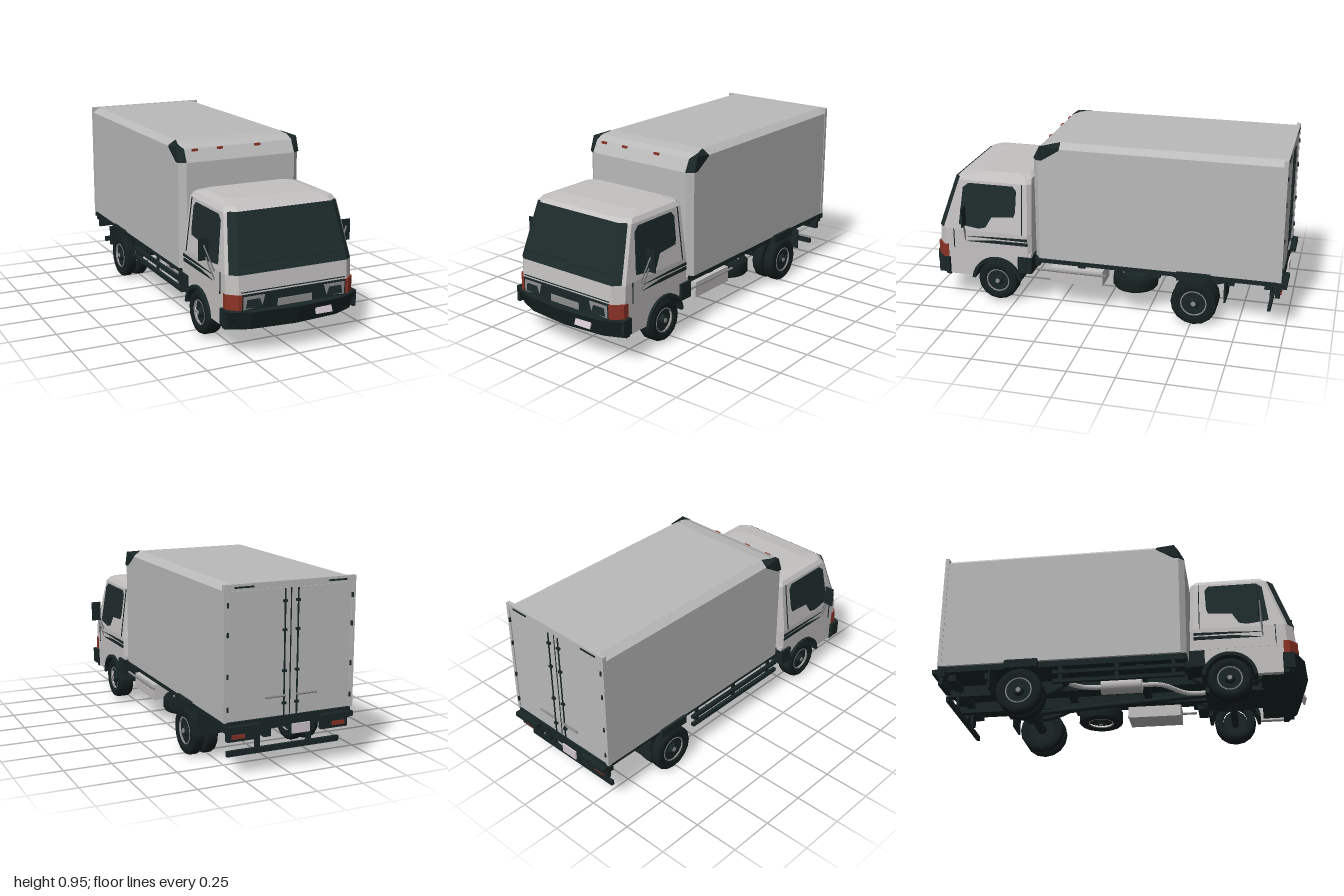
import * as THREE from 'three';
import { ConvexGeometry } from 'three/addons/geometries/ConvexGeometry.js';

const mat = (name, color) => Object.assign(new THREE.MeshStandardMaterial({ color }), { name });

export function createModel() {
  const root = new THREE.Group();
  root.name = 'boxTruck';
  const cargo = mat('cargoGrey', 0xbababa), paint = mat('cabWhite', 0xc4c1c1), dark = mat('darkTrim', 0x1a2626);
  const glass = mat('glass', 0x1e2b2b), red = mat('lampRed', 0x8c3226), rubber = mat('rubber', 0x162020);
  const metal = mat('metal', 0x8e8e8e), plateMat = mat('plateWhite', 0xd2c6ce);

  const add = (name, geo, m, x = 0, y = 0, z = 0, parent = root) => {
    const mesh = new THREE.Mesh(geo, m);
    mesh.name = name;
    mesh.position.set(x, y, z);
    parent.add(mesh);
    return mesh;
  };
  // Box given by its limits on each axis
  const box = (name, m, x0, x1, y0, y1, z0, z1) =>
    add(name, new THREE.BoxGeometry(x1 - x0, y1 - y0, z1 - z0), m, (x0 + x1) / 2, (y0 + y1) / 2, (z0 + z1) / 2);
  const pair = (name, m, x0, x1, ...r) => {
    box(name + 'Left', m, x0, x1, ...r);
    box(name + 'Right', m, -x1, -x0, ...r);
  };
  const hull = (name, m, pts) => add(name, new ConvexGeometry(pts.map(p => new THREE.Vector3(...p))), m);
  const poly = pts => new THREE.Shape(pts.map(p => new THREE.Vector2(...p)));
  // Extrude a (z, y) outline across x from x0 to x1
  const across = (shape, x0, x1) => new THREE.ExtrudeGeometry(shape, { depth: x1 - x0, bevelEnabled: false, curveSegments: 10 })
    .rotateY(-Math.PI / 2).translate(x1, 0, 0);
  const rod = (name, m, a, b, r, sides = 6) => {
    const A = new THREE.Vector3(...a), B = new THREE.Vector3(...b), d = B.clone().sub(A);
    const mesh = add(name, new THREE.CylinderGeometry(r, r, d.length(), sides), m);
    mesh.position.copy(A).add(B).multiplyScalar(0.5);
    mesh.quaternion.setFromUnitVectors(new THREE.Vector3(0, 1, 0), d.normalize());
  };
  // Skin horizontal eight-sided rings: [y, halfWidth, front, back, cornerX, cornerZ, rearCorner]
  const loft = rings => {
    const pts = rings.map(([y, w, f, b, c, d, e]) =>
      [[c - w, f], [w - c, f], [w, f - d], [w, b + e], [w - e, b], [e - w, b], [-w, b + e], [-w, f - d]].map(([x, z]) => [x, y, z]));
    const out = [], tri = (...v) => v.forEach(p => out.push(...p));
    for (let i = 0; i + 1 < pts.length; i++) for (let j = 0; j < 8; j++) {
      const k = (j + 1) % 8;
      tri(pts[i][j], pts[i][k], pts[i + 1][k]);
      tri(pts[i][j], pts[i + 1][k], pts[i + 1][j]);
    }
    const top = pts[pts.length - 1], low = pts[0];
    for (let j = 1; j < 7; j++) {
      tri(top[0], top[j], top[j + 1]);
      tri(low[0], low[j + 1], low[j]);
    }
    const g = new THREE.BufferGeometry();
    g.setAttribute('position', new THREE.Float32BufferAttribute(out, 3));
    g.computeVertexNormals();
    return g;
  };

  // Cargo body
  add('cargoBox', loft([
    [0.295, 0.35, 0.37, -0.963, 0.034, 0.03, 0.002], [0.86, 0.35, 0.37, -0.963, 0.034, 0.03, 0.002],
    [0.925, 0.35, 0.336, -0.963, 0.034, 0.03, 0.002], [0.945, 0.325, 0.29, -0.963, 0.014, 0.02, 0.002],
    [0.955, 0.312, 0.22, -0.963, 0.01, 0.01, 0.002]]), cargo);
  for (const s of [1, -1]) {
    hull('cargoCornerCap', dark, [
      [0.316, 0.86, 0.373], [0.356, 0.86, 0.345], [0.353, 0.86, 0.315], [0.316, 0.925, 0.34], [0.355, 0.94, 0.318],
      [0.313, 0.956, 0.222], [0.352, 0.93, 0.22], [0.352, 0.92, 0.22], [0.3, 0.86, 0.33]].map(([x, y, z]) => [s * x, y, z]));
  }
  for (const x of [-0.257, -0.113, 0.105]) box('roofMarker', red, x - 0.017, x + 0.017, 0.912, 0.924, 0.325, 0.346);

  // Rear frame, doors and latches
  pair('doorFrame', cargo, 0.335, 0.353, 0.295, 0.956, -0.971, -0.95);
  box('doorHeader', cargo, -0.335, 0.335, 0.925, 0.956, -0.971, -0.95);
  pair('rearDoor', cargo, 0.003, 0.332, 0.3, 0.922, -0.967, -0.955);
  box('doorSeam', dark, -0.003, 0.003, 0.3, 0.922, -0.968, -0.958);
  for (const s of [1, -1]) {
    rod('latchBar', dark, [s * 0.035, 0.3, -0.974], [s * 0.035, 0.92, -0.974], 0.004);
    rod('latchHandle', metal, [s * 0.03, 0.4, -0.982], [s * 0.14, 0.4, -0.982], 0.006);
    for (const y of [0.36, 0.52, 0.72, 0.86]) {
      box('hinge', dark, s * 0.335 - 0.004, s * 0.335 + 0.004, y - 0.012, y + 0.012, -0.976, -0.965);
      box('latchBracket', dark, s * 0.035 - 0.01, s * 0.035 + 0.01, y - 0.006, y + 0.006, -0.98, -0.963);
    }
    box('rearMarker', dark, s * 0.25 - 0.05, s * 0.25 + 0.05, 0.936, 0.944, -0.975, -0.968);
  }

  // Cab shell
  add('cabShell', loft([
    [0.3, 0.352, 0.94, 0.39, 0.05, 0.045, 0.02], [0.42, 0.352, 0.93, 0.39, 0.05, 0.045, 0.02],
    [0.7, 0.317, 0.835, 0.395, 0.05, 0.04, 0.02], [0.724, 0.302, 0.81, 0.4, 0.05, 0.04, 0.03],
    [0.738, 0.25, 0.71, 0.43, 0.04, 0.04, 0.04]]), paint);

  // Windscreen wrapping the front corners, with wipers laid on it
  hull('windscreen', glass, [1, -1].flatMap(s => [
    [s * 0.304, 0.422, 0.934], [s * 0.34, 0.422, 0.902], [s * 0.268, 0.706, 0.838], [s * 0.304, 0.706, 0.808]]));
  const wipers = new THREE.Group();
  wipers.name = 'wipers';
  wipers.position.set(0, 0.42, 0.934);
  wipers.rotation.x = -0.327;
  root.add(wipers);
  for (const x of [-0.16, 0.14])
    add('wiper', new THREE.BoxGeometry(0.28, 0.006, 0.006), dark, x, 0.05, 0.003, wipers).rotation.z = 0.04;

  // Side windows, seams and stripes following the inward lean
  const sidePlate = (name, pts, m) => {
    for (const s of [1, -1]) {
      const g = s > 0 ? across(poly(pts), 0.35, 0.356) : across(poly(pts), -0.356, -0.35);
      const p = g.attributes.position;
      for (let i = 0; i < p.count; i++) p.setX(i, p.getX(i) - s * 0.125 * Math.max(0, p.getY(i) - 0.42));
      g.computeVertexNormals();
      add(name, g, m);
    }
  };
  sidePlate('sideWindow', [[0.805, 0.45], [0.69, 0.435], [0.65, 0.445], [0.615, 0.505], [0.49, 0.515], [0.48, 0.54], [0.475, 0.66], [0.495, 0.685], [0.75, 0.685], [0.78, 0.66]].reverse(), glass);
  sidePlate('doorSeamRear', [[0.44, 0.42], [0.444, 0.42], [0.444, 0.7], [0.44, 0.7]], dark);
  sidePlate('doorSeamFront', [[0.834, 0.31], [0.838, 0.31], [0.838, 0.42], [0.834, 0.42]], dark);
  sidePlate('upperStripe', [[0.41, 0.397], [0.41, 0.382], [0.77, 0.384], [0.6, 0.392]], dark);
  sidePlate('lowerStripe', [[0.41, 0.374], [0.41, 0.356], [0.76, 0.355], [0.62, 0.372]], dark);

  // Lower cab sides with wheel cutout, and the dark floor between them
  const skirt = poly([[0.39, 0.31], [0.39, 0.29], [0.46, 0.285], [0.47, 0.2]]);
  skirt.absarc(0.59, 0.13, 0.14, Math.PI * 0.83, Math.PI * 0.07, true);
  [[0.735, 0.15], [0.87, 0.15], [0.88, 0.25], [0.885, 0.31]].forEach(p => skirt.lineTo(...p));
  const arch = new THREE.Shape();
  arch.absarc(0.59, 0.13, 0.145, 0.1, Math.PI * 0.95, false);
  arch.absarc(0.59, 0.13, 0.127, Math.PI * 0.95, 0.1, true);
  for (const s of [1, -1]) {
    const span = (a, b) => (s > 0 ? [a, b] : [-b, -a]);
    add('cabSkirt', across(skirt, ...span(0.32, 0.351)), paint);
    add('wheelArch', across(arch, ...span(0.21, 0.366)), dark);
    const [a, b] = span(0.22, 0.366);
    box('stepGuard', dark, a, b, 0.2, 0.29, 0.385, 0.465);
  }
  box('cabFloor', dark, -0.32, 0.32, 0.26, 0.305, 0.395, 0.93);
  box('cabNoseFloor', dark, -0.32, 0.32, 0.16, 0.28, 0.75, 0.92);
  box('engine', dark, -0.13, 0.13, 0.15, 0.27, 0.45, 0.76);

  // Bumper: plan outline raised, lower edge drawn back
  const bumperGeo = new THREE.ExtrudeGeometry(poly([[-0.355, -0.865], [0.355, -0.865], [0.366, -0.93], [0.25, -0.978], [0, -1], [-0.25, -0.978], [-0.366, -0.93]].reverse()),
    { depth: 0.1, bevelEnabled: false }).rotateX(-Math.PI / 2).translate(0, 0.145, 0);
  const bp = bumperGeo.attributes.position;
  for (let i = 0; i < bp.count; i++) if (bp.getY(i) < 0.2 && bp.getZ(i) > 0.9) bp.setXYZ(i, bp.getX(i) * 0.97, bp.getY(i), bp.getZ(i) - 0.04);
  bumperGeo.computeVertexNormals();
  add('bumper', bumperGeo, dark);
  pair('bumperEnd', dark, 0.352, 0.37, 0.165, 0.25, 0.865, 0.925);
  add('frontPlate', new THREE.BoxGeometry(0.096, 0.05, 0.008), plateMat, 0.148, 0.205, 0.974).rotation.set(-0.38, 0.09, 0);

  // Grille, headlamps and corner lamps
  box('grille', dark, -0.29, 0.29, 0.245, 0.325, 0.88, 0.946);
  box('grilleCentre', metal, -0.095, 0.095, 0.247, 0.283, 0.94, 0.951);
  box('panelSeam', dark, -0.29, 0.29, 0.334, 0.338, 0.93, 0.941);
  for (const s of [1, -1]) {
    const flat = (name, m, z, pts) => add(name, new THREE.ExtrudeGeometry(poly(pts.map(([x, y]) => [s * x, y])), { depth: 0.006, bevelEnabled: false }), m, 0, 0, z);
    flat('lampSurround', metal, 0.942, [[0.165, 0.316], [0.18, 0.258], [0.283, 0.25], [0.283, 0.316]]);
    flat('headlamp', glass, 0.945, [[0.195, 0.3], [0.178, 0.255], [0.27, 0.258], [0.262, 0.3]]);
    hull('cornerLamp', red, [0.25, 0.325].flatMap(y => [[0.287, 0.946], [0.308, 0.946], [0.354, 0.903], [0.354, 0.872], [0.287, 0.872]]
      .map(([x, z]) => [s * x, y, z])));
  }

  // Mirrors on stays
  for (const s of [1, -1]) {
    box('mirror', dark, s * 0.403 - 0.027, s * 0.403 + 0.027, 0.463, 0.575, 0.751, 0.758);
    rod('mirrorStayUpper', metal, [s * 0.35, 0.4, 0.77], [s * 0.405, 0.54, 0.762], 0.004);
    rod('mirrorStayLower', metal, [s * 0.35, 0.36, 0.77], [s * 0.395, 0.48, 0.762], 0.004);
  }

  // Wheels
  const wheel = (name, x, y, z, r, w, side) => {
    const g = new THREE.Group();
    g.name = name;
    g.position.set(x, y, z);
    g.rotation.z = -side * Math.PI / 2;
    const h = w / 2, ri = r * 0.58;
    add('tyre', new THREE.LatheGeometry([[ri, -h * 0.8], [r * 0.75, -h], [r * 0.93, -h * 0.9], [r, -h * 0.6], [r, h * 0.6], [r * 0.93, h * 0.9], [r * 0.75, h], [ri, h * 0.8]]
      .map(p => new THREE.Vector2(...p)), 16), rubber, 0, 0, 0, g);
    add('wheelDisc', new THREE.CylinderGeometry(ri, ri, h, 16), dark, 0, 0, 0, g);
    add('rimRing', new THREE.TorusGeometry(ri * 0.95, 0.004, 6, 16).rotateX(Math.PI / 2), metal, 0, h * 0.75, 0, g);
    add('hub', new THREE.CylinderGeometry(ri * 0.3, ri * 0.45, h * 0.5, 12), dark, 0, h * 0.7, 0, g);
    add('hubCap', new THREE.CylinderGeometry(ri * 0.18, ri * 0.2, 0.006, 10), metal, 0, h * 0.97, 0, g);
    root.add(g);
    return g;
  };
  for (const s of [1, -1]) {
    wheel('frontWheel', s * 0.312, 0.133, 0.59, 0.115, 0.095, s);
    wheel('rearOuterWheel', s * 0.332, 0.127, -0.515, 0.125, 0.068, s);
    wheel('rearInnerWheel', s * 0.255, 0.127, -0.515, 0.125, 0.068, s);
  }
  wheel('spareWheel', 0.2, 0.167, -0.165, 0.125, 0.085, -1).rotation.z = Math.PI;

  // Chassis, axles and drive line
  box('cargoFloor', dark, -0.335, 0.335, 0.262, 0.297, -0.96, 0.37);
  pair('chassisRail', dark, 0.1, 0.14, 0.2, 0.27, -0.97, 0.8);
  for (const z of [0.38, 0.12, -0.3, -0.7, -0.9]) box('crossMember', dark, -0.3, 0.3, 0.225, 0.265, z - 0.02, z + 0.02);
  rod('frontAxle', dark, [-0.3, 0.118, 0.59], [0.3, 0.118, 0.59], 0.02, 8);
  rod('rearAxle', dark, [-0.3, 0.127, -0.515], [0.3, 0.127, -0.515], 0.027, 8);
  add('differential', new THREE.SphereGeometry(0.055, 12, 8), dark, 0, 0.13, -0.515);
  rod('driveShaft', dark, [0, 0.19, 0.45], [0, 0.135, -0.5], 0.015, 8);
  for (const s of [1, -1]) for (const z of [0.59, -0.515])
    add('leafSpring', new THREE.TubeGeometry(new THREE.QuadraticBezierCurve3(
      new THREE.Vector3(s * 0.16, 0.22, z + 0.2), new THREE.Vector3(s * 0.16, 0.1, z), new THREE.Vector3(s * 0.16, 0.22, z - 0.2)), 10, 0.014, 5), dark);
  pair('rearMudguard', dark, 0.21, 0.366, 0.256, 0.302, -0.6, -0.42);
  pair('mudflap', dark, 0.215, 0.36, 0.15, 0.265, -0.685, -0.675);

  // Side guards, tank and exhaust
  rod('sideRailLeft', metal, [0.335, 0.22, 0.37], [0.335, 0.22, -0.03], 0.007);
  for (const y of [0.225, 0.175]) box('sideRailRight', dark, -0.345, -0.325, y - 0.01, y + 0.01, -0.34, 0.36);
  for (const z of [0.3, 0, -0.3]) box('railHanger', dark, -0.332, -0.322, 0.17, 0.27, z - 0.01, z + 0.01);
  box('tank', paint, 0.17, 0.325, 0.148, 0.235, -0.005, 0.29);
  rod('muffler', paint, [-0.2, 0.185, 0.12], [-0.2, 0.185, -0.1], 0.042, 14);
  add('exhaustPipe', new THREE.TubeGeometry(new THREE.CatmullRomCurve3([[-0.06, 0.18, 0.5], [-0.08, 0.175, 0.35], [-0.19, 0.185, 0.22],
    [-0.2, 0.185, 0.1], [-0.2, 0.185, -0.12], [-0.23, 0.18, -0.2], [-0.31, 0.17, -0.26]].map(p => new THREE.Vector3(...p))), 24, 0.013, 7), paint);

  // Rear beams, lamps, plate and underrun bar
  pair('rearBeam', dark, 0.17, 0.34, 0.255, 0.28, -1, -0.95);
  box('rearSill', dark, -0.34, 0.34, 0.24, 0.296, -0.972, -0.93);
  pair('lampHolder', dark, 0.18, 0.33, 0.195, 0.25, -0.965, -0.94);
  pair('tailLamp', red, 0.24, 0.31, 0.21, 0.23, -0.972, -0.964);
  box('rearPlate', plateMat, -0.11, -0.01, 0.2, 0.25, -0.98, -0.972);
  box('underrunBar', dark, -0.31, 0.31, 0.105, 0.133, -0.92, -0.903);
  pair('underrunPost', dark, 0.13, 0.155, 0.105, 0.25, -0.912, -0.898);
  return root;
}
